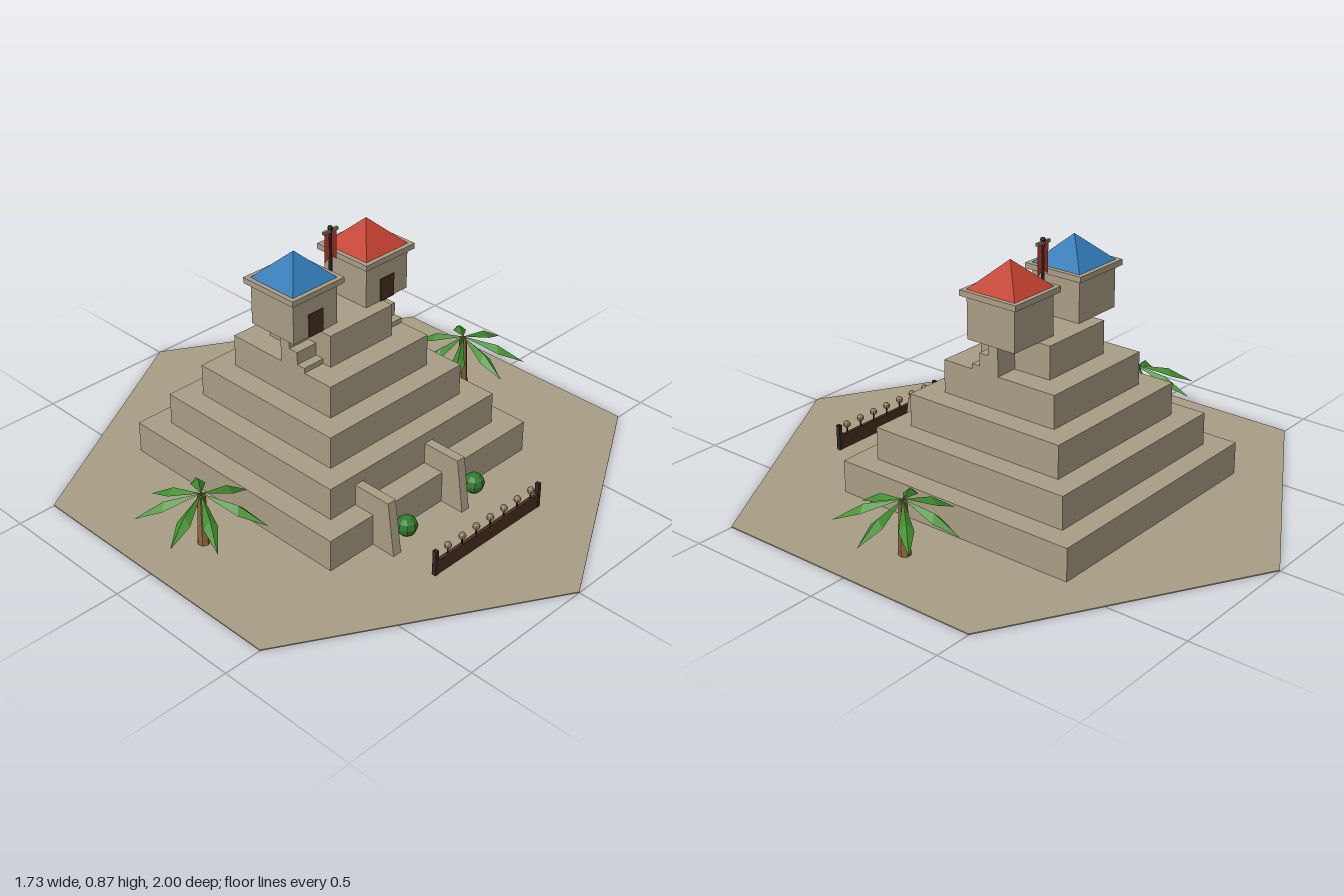
import * as THREE from 'three';

const mat = (name, color, side = THREE.FrontSide) =>
  Object.assign(new THREE.MeshStandardMaterial({ color, flatShading: true, side }), { name });

export function createModel() {
  const root = new THREE.Group();
  root.name = 'steppedTemple';

  const stone = mat('sandstone', 0xaa9e86);
  const blue = mat('blueRoof', 0x2f79b5);
  const red = mat('redRoof', 0xc0402f, THREE.DoubleSide);
  const darkWood = mat('darkWood', 0x46301f);
  const poleWood = mat('poleWood', 0x33281f);
  const bark = mat('bark', 0x8f6542);
  const frond = mat('frondGreen', 0x42902f, THREE.DoubleSide);
  const bushGreen = mat('bushGreen', 0x2f7a2c);
  const bone = mat('knobBrown', 0x8c7a60);

  const add = (name, geo, material, x = 0, y = 0, z = 0, parent = root) => {
    const m = new THREE.Mesh(geo, material);
    m.name = name;
    m.position.set(x, y, z);
    parent.add(m);
    return m;
  };
  // Box given by its bottom centre
  const box = (name, w, h, d, material, x, y, z, parent) =>
    add(name, new THREE.BoxGeometry(w, h, d), material, x, y + h / 2, z, parent);
  // Side profile of [z, y] points, extruded to a width and centred on x
  const profile = (points, width) => {
    const shape = new THREE.Shape(points.map(([z, y]) => new THREE.Vector2(z, y)));
    return new THREE.ExtrudeGeometry(shape, { depth: width, bevelEnabled: false })
      .translate(0, 0, -width / 2).rotateY(-Math.PI / 2);
  };

  // Hexagonal ground plate
  add('ground', new THREE.CylinderGeometry(1, 1, 0.004, 6), stone, 0, 0.002, 0);

  // Stepped pyramid
  const cz = -0.076, step = 0.1155;
  [0.465, 0.386, 0.306, 0.226, 0.142].forEach((half, i) =>
    box('tier' + (i + 1), half * 2, step, half * 2, stone, 0, 0.003 + i * step, cz));
  const top = 0.003 + 5 * step;

  for (const side of [-1, 1]) {
    // Short stairs beside the top tier
    add('stairs', profile([[cz, 0.465], [0.032, 0.465], [0.032, 0.483], [0, 0.483], [0, 0.528],
      [-0.036, 0.528], [-0.036, top], [cz, top]], 0.084), stone, side * 0.184, 0, 0);

    // Tower with door, cornice and pyramid roof
    const tower = new THREE.Group();
    tower.name = side < 0 ? 'blueTower' : 'redTower';
    tower.position.set(side * 0.163, top, cz);
    root.add(tower);
    box('towerWalls', 0.193, 0.147, 0.193, stone, 0, 0, 0, tower);
    box('door', 0.063, 0.082, 0.006, darkWood, 0, 0, 0.0975, tower);
    box('cornice', 0.226, 0.02, 0.226, stone, 0, 0.147, 0, tower);
    add('roof', new THREE.ConeGeometry(0.097 * Math.SQRT2, 0.095, 4).rotateY(Math.PI / 4),
      side < 0 ? blue : red, 0, 0.2145, 0, tower);

    // Round bush by the entrance
    add('bush', new THREE.SphereGeometry(0.037, 8, 6), bushGreen, side * 0.163, 0.04, 0.43);
  }

  // Sloped entrance walls
  for (const x of [-0.259, 0.065])
    add('entranceWall', profile([[0.3, 0], [0.48, 0], [0.452, 0.195], [0.3, 0.195]], 0.034), stone, x);

  // Flagpole with swallow-tailed banner
  add('flagpole', new THREE.CylinderGeometry(0.006, 0.006, 0.285, 6), poleWood, 0, top + 0.1425, cz);
  add('poleKnob', new THREE.SphereGeometry(0.01, 6, 4), poleWood, 0, 0.862, cz);
  box('crossbar', 0.064, 0.01, 0.01, bone, 0, 0.848, cz);
  const banner = new THREE.Shape([[-0.027, 0.85], [-0.027, 0.742], [0, 0.762], [0.027, 0.742], [0.027, 0.85]]
    .map(([x, y]) => new THREE.Vector2(x, y)));
  add('banner', new THREE.ShapeGeometry(banner), red, 0, 0, cz);

  // Fence with end posts and a row of knobs
  const fz = 0.63;
  box('fencePanel', 0.5, 0.056, 0.012, darkWood, 0, 0, fz);
  for (const x of [-0.248, 0.248]) box('fencePost', 0.013, 0.097, 0.015, poleWood, x, 0, fz);
  for (let i = 0; i < 7; i++) {
    const x = -0.192 + i * 0.067;
    box('fencePeg', 0.004, 0.03, 0.004, poleWood, x, 0.05, fz);
    add('fenceKnob', new THREE.SphereGeometry(0.013, 8, 6), bone, x, 0.087, fz);
  }

  // Folded leaf: ridge along +x with drooping edges
  const leafGeometry = (L) => {
    const base = [0, 0, 0], mid = [0.55 * L, -0.022, 0], tip = [L, -0.083, 0];
    const l = [0.58 * L, -0.046, 0.024], r = [0.58 * L, -0.046, -0.024];
    const g = new THREE.BufferGeometry();
    g.setAttribute('position', new THREE.Float32BufferAttribute(
      [base, l, mid, mid, l, tip, base, mid, r, mid, tip, r].flat(), 3));
    g.computeVertexNormals();
    return g;
  };

  // Palms: fronds as [angle in degrees from +x towards +z, length]
  const palm = (name, x, z, fronds) => {
    const g = new THREE.Group();
    g.name = name;
    g.position.set(x, 0, z);
    root.add(g);
    add('trunk', new THREE.CylinderGeometry(0.014, 0.022, 0.19, 7), bark, 0, 0.095, 0, g);
    for (const [deg, L] of fronds)
      add('frond', leafGeometry(L), frond, 0, 0.196, 0, g).rotation.y = -deg * Math.PI / 180;
  };
  palm('rightPalm', -0.648, 0,
    [[0, 0.19], [61, 0.22], [118, 0.21], [161, 0.195], [219, 0.215], [259, 0.205], [305, 0.205]]);
  palm('leftPalm', 0.647, -0.05,
    [[0, 0.205], [56, 0.225], [97, 0.205], [147, 0.215], [196, 0.185], [259, 0.2], [313, 0.215]]);

  return root;
}
